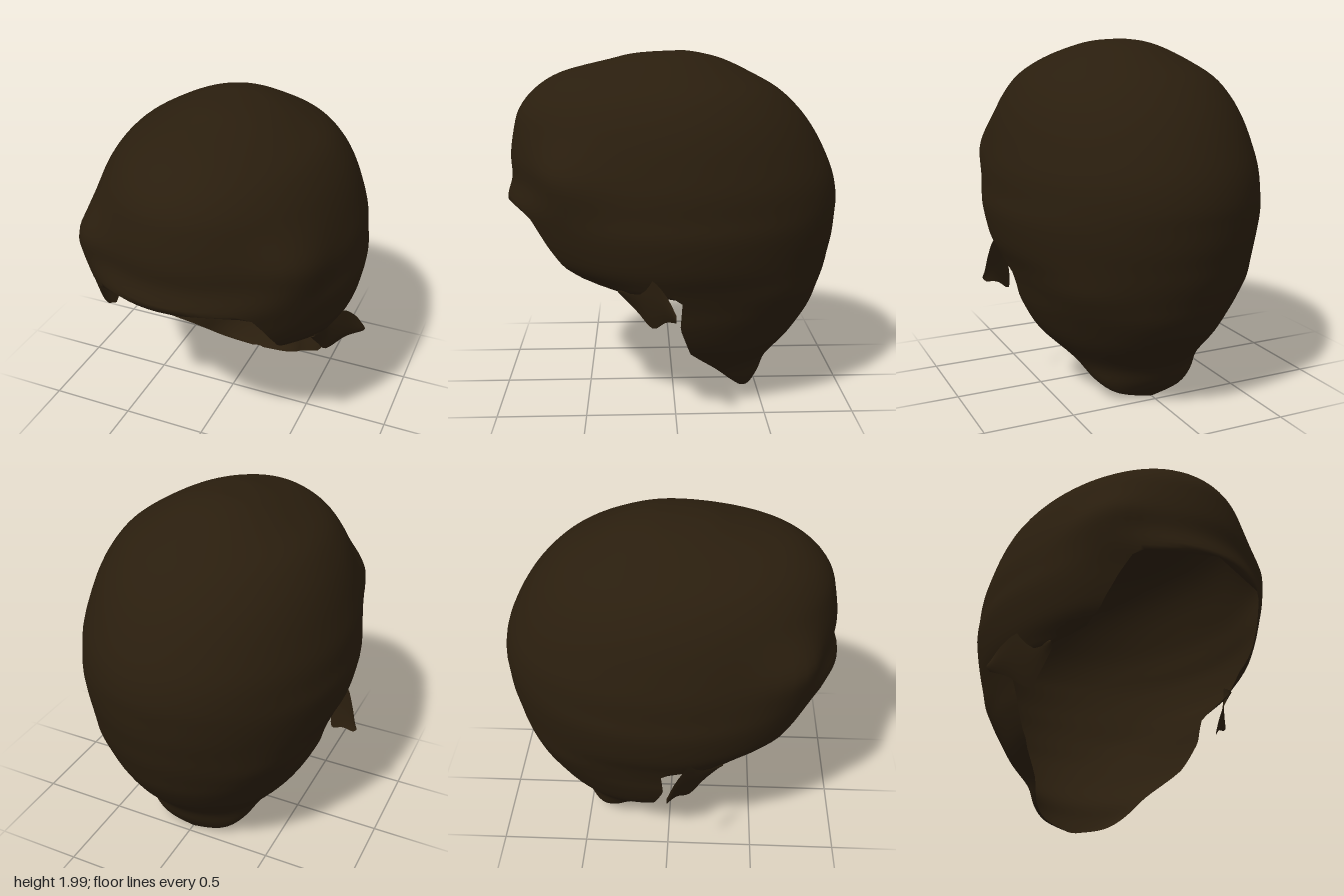
import * as THREE from 'three';
import { mergeVertices } from 'three/addons/utils/BufferGeometryUtils.js';

// Horizontal slices of the hair: [y, half width, back z, front z, centre z]
const SLICES = [
  [2.00, 0, -0.06, -0.06, -0.06],
  [1.985, 0.13, -0.16, 0.20, -0.04],
  [1.95, 0.25, -0.29, 0.36, 0],
  [1.88, 0.39, -0.44, 0.63, 0],
  [1.79, 0.53, -0.60, 0.78, 0],
  [1.68, 0.62, -0.72, 0.87, 0],
  [1.56, 0.68, -0.81, 0.905, 0],
  [1.42, 0.725, -0.885, 0.925, 0],
  [1.30, 0.755, -0.93, 0.92, 0],
  [1.18, 0.765, -0.95, 0.95, 0],
  [1.08, 0.775, -0.945, 0.92, 0],
  [0.97, 0.76, -0.935, 0.88, 0],
  [0.87, 0.735, -0.915, 0.81, 0],
  [0.77, 0.69, -0.895, 0.64, 0],
  [0.66, 0.65, -0.86, 0.56, -0.01],
  [0.54, 0.615, -0.815, 0.5, -0.02],
  [0.38, 0.53, -0.71, 0.4, -0.08],
  [0.23, 0.38, -0.575, 0.3, -0.23],
  [0.12, 0.30, -0.525, 0.2, -0.34],
  [0.05, 0.20, -0.48, 0, -0.41],
  [0.01, 0.03, -0.45, -0.2, -0.44],
];

// Hairline seen from the side: [y, z], from the fringe to the nape
const HAIRLINE = [
  [1.18, 0.95], [1.172, 0.85], [1.13, 0.78], [0.98, 0.68], [0.88, 0.60],
  [0.81, 0.48], [0.77, 0.30], [0.74, -0.03], [0.56, -0.02], [0.38, -0.08],
  [0.23, -0.23], [0.12, -0.34], [0.01, -0.44],
];

function hairlineZ(y) {
  for (let i = 1; i < HAIRLINE.length; i++) {
    const [y0, z0] = HAIRLINE[i - 1], [y1, z1] = HAIRLINE[i];
    if (y >= y1) return z0 + (z1 - z0) * (y0 - y) / (y0 - y1);
  }
  return -0.44;
}

// Smooth blend between neighbouring slices
function sliceAt(t) {
  const i = Math.min(Math.floor(t), SLICES.length - 2), f = t - i;
  const at = k => SLICES[Math.max(0, Math.min(SLICES.length - 1, k))];
  return SLICES[i].map((p1, k) => {
    const p0 = at(i - 1)[k], p2 = at(i + 1)[k], p3 = at(i + 2)[k];
    return p1 + 0.5 * f * (p2 - p0 + f * (2 * p0 - 5 * p1 + 4 * p2 - p3 + f * (3 * (p1 - p2) + p3 - p0)));
  });
}

// Soft rounded lump at an angle and height
const lump = (da, sa, dy, sy) => Math.exp(-((da / sa) ** 2) - (dy / sy) ** 2);

// Swept volume over the temples, fuller on the right, and a flare behind the ears
function swell(a, y) {
  const fromFront = Math.PI - Math.abs(a);
  const temple = a < 0
    ? 0.105 * lump(fromFront - 0.78, 0.23, y - 1.37, 0.17)
    : 0.08 * lump(fromFront - 0.9, 0.25, y - 1.37, 0.17);
  return 1 + temple + 0.04 * lump(Math.abs(a) - 0.85, 0.35, y - 0.7, 0.13);
}

// Surface through a grid of points, smooth where points coincide
function gridGeometry(rows) {
  const n = rows[0].length, index = [];
  for (let r = 0; r < rows.length - 1; r++) {
    for (let c = 0; c < n - 1; c++) {
      const a = r * n + c, b = a + n;
      index.push(a, a + 1, b, b, a + 1, b + 1);
    }
  }
  const g = new THREE.BufferGeometry();
  g.setAttribute('position', new THREE.Float32BufferAttribute(rows.flat(2), 3));
  g.setIndex(index);
  const merged = mergeVertices(g, 1e-4);
  merged.computeVertexNormals();
  return merged;
}

// Main shell, open at the face and neck
function shellGeometry() {
  const rows = [], steps = 4, cols = 80;
  for (let s = 0; s <= (SLICES.length - 1) * steps; s++) {
    const [y, w, back, front, mid] = sliceAt(s / steps);
    let limit = Math.PI;
    if (y < 1.1799) {
      const rim = hairlineZ(y);
      const depth = rim < mid ? mid - back : front - mid;
      limit = Math.acos(THREE.MathUtils.clamp((mid - rim) / depth, -1, 1));
    }
    const row = [];
    for (let c = 0; c <= cols; c++) {
      // Columns past the hairline gather on it
      const a = THREE.MathUtils.clamp(Math.PI * (2 * c / cols - 1), -limit, limit);
      const cos = Math.cos(a), k = swell(a, y);
      row.push([w * Math.sin(a) * k, y, mid - cos * (cos > 0 ? mid - back : front - mid) * k]);
    }
    rows.push(row);
  }
  return gridGeometry(rows);
}

// Sideburn that sweeps back and curls away from the head
function sideburnGeometry(side) {
  const curve = pts => new THREE.CatmullRomCurve3(pts.map(p => new THREE.Vector3(...p)));
  const top = curve([[0.61, 0.79, 0.31], [0.66, 0.85, 0.20], [0.725, 0.865, 0.13], [0.78, 0.80, 0.06], [0.82, 0.71, 0.01]]);
  const low = curve([[0.60, 0.765, 0.31], [0.61, 0.66, 0.21], [0.64, 0.575, 0.13], [0.73, 0.64, 0.06], [0.81, 0.665, 0.01]]);
  const rows = [];
  for (let r = 0; r <= 6; r++) {
    const row = [];
    for (let c = 0; c <= 14; c++) {
      const u = side > 0 ? 1 - c / 14 : c / 14;
      const p = top.getPoint(u).lerp(low.getPoint(u), r / 6);
      p.x += 0.015 * Math.sin(Math.PI * r / 6);
      row.push([side * p.x, p.y, p.z]);
    }
    rows.push(row);
  }
  return gridGeometry(rows);
}

export function createModel() {
  const hair = new THREE.MeshStandardMaterial({ color: 0x2a1e0e, side: THREE.DoubleSide });
  hair.name = 'dark brown hair';
  const group = new THREE.Group();
  group.name = 'hair';
  const add = (name, geometry) => {
    const mesh = new THREE.Mesh(geometry, hair);
    mesh.name = name;
    group.add(mesh);
  };
  add('hairShell', shellGeometry());
  add('leftSideburn', sideburnGeometry(1));
  add('rightSideburn', sideburnGeometry(-1));
  return group;
}
